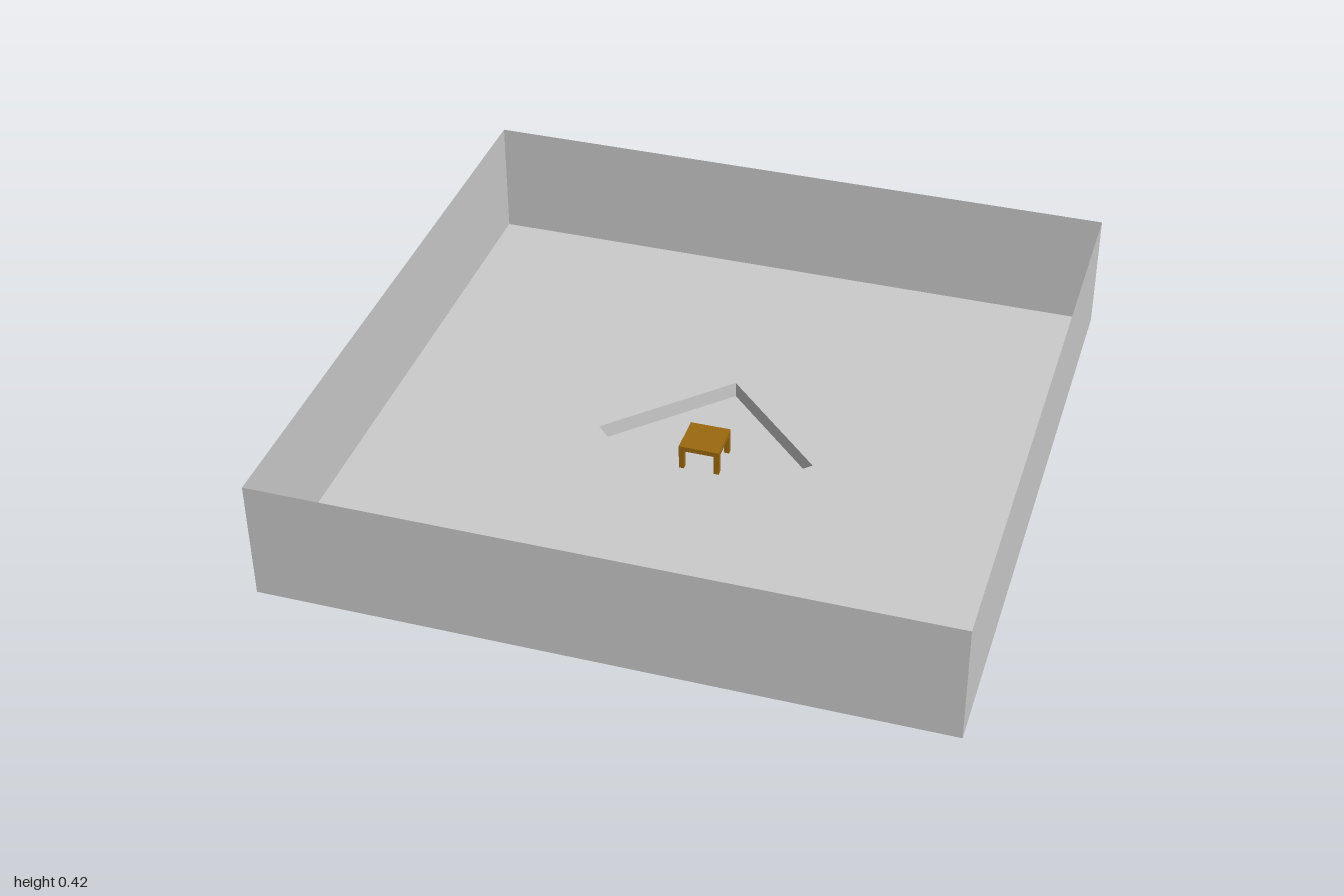
import * as THREE from 'three';

const FLOOR_Y = 0.05, WALL_TOP = 0.42, PIT_R = 0.335;

export function createModel() {
  const model = new THREE.Group();
  const grey = new THREE.MeshStandardMaterial({ color: 0xcccccc, flatShading: true, side: THREE.DoubleSide });
  const wood = new THREE.MeshStandardMaterial({ color: 0x9c6a10, flatShading: true });

  function add(parent, name, geometry, material, x = 0, y = 0, z = 0) {
    const mesh = new THREE.Mesh(geometry, material);
    mesh.name = name;
    mesh.position.set(x, y, z);
    parent.add(mesh);
    return mesh;
  }

  // Open four-sided ring of thin walls with its corners on the axes
  function squareWalls(radius, y0, y1) {
    const g = new THREE.CylinderGeometry(radius, radius, y1 - y0, 4, 1, true).toNonIndexed();
    g.translate(0, (y0 + y1) / 2, 0);
    g.computeVertexNormals();
    return g;
  }

  const diamond = [[PIT_R, 0], [0, PIT_R], [-PIT_R, 0], [0, -PIT_R]].map(([x, y]) => new THREE.Vector2(x, y));

  // Room: outer walls and a floor with a diamond opening
  add(model, 'roomWalls', squareWalls(Math.SQRT2, FLOOR_Y, WALL_TOP).rotateY(Math.PI / 4), grey);
  const floor = new THREE.Shape([[-1, -1], [1, -1], [1, 1], [-1, 1]].map(([x, y]) => new THREE.Vector2(x, y)));
  floor.holes.push(new THREE.Path(diamond));
  add(model, 'roomFloor', new THREE.ShapeGeometry(floor).rotateX(-Math.PI / 2), grey, 0, FLOOR_Y, 0);

  // Sunken pit
  add(model, 'pitWalls', squareWalls(PIT_R, 0, FLOOR_Y), grey);
  add(model, 'pitFloor', new THREE.ShapeGeometry(new THREE.Shape(diamond)).rotateX(-Math.PI / 2), grey);

  // Small table standing in the pit
  const table = new THREE.Group();
  table.name = 'table';
  model.add(table);
  const size = 0.125, height = 0.08, thick = 0.016, leg = 0.016;
  add(table, 'tableTop', new THREE.BoxGeometry(size, thick, size), wood, 0, height - thick / 2, 0);
  const legHeight = height - thick, offset = (size - leg) / 2;
  for (const sx of [-1, 1]) {
    for (const sz of [-1, 1]) {
      add(table, 'tableLeg', new THREE.BoxGeometry(leg, legHeight, leg), wood, sx * offset, legHeight / 2, sz * offset);
    }
  }
  return model;
}
